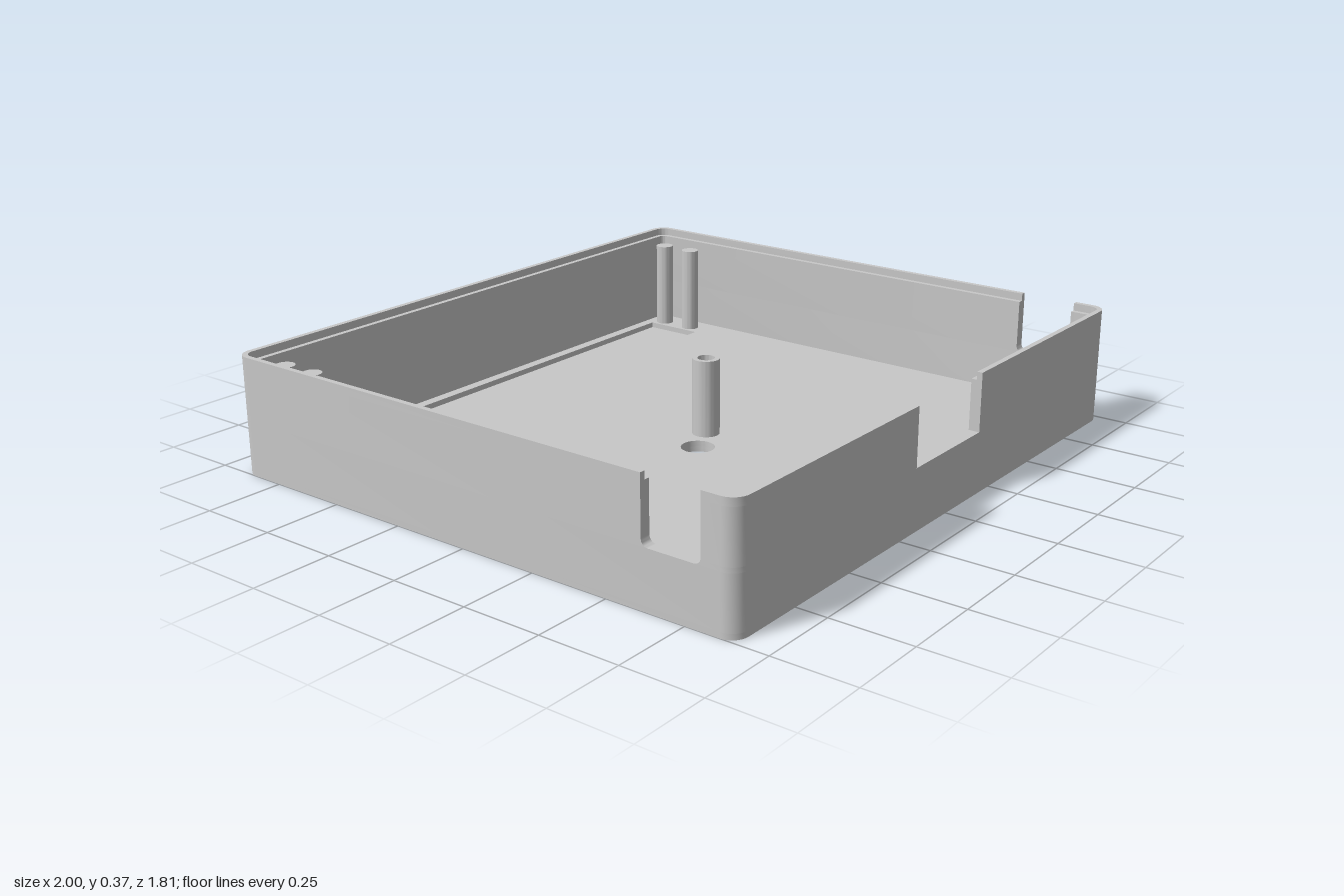
import * as THREE from 'three';
import { toCreasedNormals } from 'three/addons/utils/BufferGeometryUtils.js';

const W = 1, D = 0.905, H = 0.369;     // half width, half depth, height
const WALL = 0.034, LIP = 0.017, R = 0.05;
const FLOOR = 0.035, RECESS = 0.017, LEDGE = 0.345, PEG = 0.33;
const SIDE = { z0: 0.615, z1: 0.798, y: 0.175, r: 0.02 }; // side notch
const FRONT = { x: 0.175, y: 0.19 };                      // front notch
const POST = { x: 0.032, z: 0.037, r: 0.043, bore: 0.027, top: 0.28 };

export function createModel() {
  const group = new THREE.Group();
  const grey = new THREE.MeshStandardMaterial({ color: 0xc8c8c8 });
  grey.name = 'grey plastic';

  function add(name, geometry) {
    const mesh = new THREE.Mesh(toCreasedNormals(geometry, 0.6), grey);
    mesh.name = name;
    group.add(mesh);
  }

  // Extrude a plan shape (x, -z) upward from y0 to y1
  function slab(name, shape, y0, y1) {
    const g = new THREE.ExtrudeGeometry(shape, { depth: y1 - y0, bevelEnabled: false, curveSegments: 24 });
    g.rotateX(-Math.PI / 2);
    g.translate(0, y0, 0);
    add(name, g);
  }

  const v = (x, z) => new THREE.Vector2(x, -z);

  // Rounded corner running from the side wall to the front or back wall
  function corner(sx, sz, inset) {
    const r = Math.max(R - inset, 0.012);
    const pts = [];
    for (let i = 0; i <= 8; i++) {
      const a = (i / 8) * Math.PI / 2;
      pts.push(v(sx * (W - inset - r + r * Math.cos(a)), sz * (D - inset - r + r * Math.sin(a))));
    }
    return pts;
  }

  // Counter-clockwise rounded rectangle, so that holes face the right way
  const outline = (inset) => [
    ...corner(1, -1, inset), ...corner(-1, -1, inset).reverse(),
    ...corner(-1, 1, inset), ...corner(1, 1, inset).reverse(),
  ];

  const circle = (x, z, r) => new THREE.Path().absarc(x, -z, r, 0, Math.PI * 2, true);

  // Floor: lower plate with a counterbore, then upper plate with the shallow recess
  const vents = () => [circle(-0.395, -0.322, 0.052), circle(-0.082, 0.092, 0.052)];
  const lower = new THREE.Shape(outline(0));
  lower.holes.push(...vents(), circle(POST.x, POST.z, POST.r));
  slab('floorLower', lower, 0, RECESS);

  const upper = new THREE.Shape(outline(WALL - 0.002));
  upper.holes.push(...vents(), circle(POST.x, POST.z, POST.bore));
  upper.holes.push(new THREE.Path([v(-0.858, -0.837), v(0.858, -0.837), v(0.858, -0.635), v(-0.858, -0.635)]));
  slab('floorUpper', upper, RECESS, FLOOR);

  // Unbroken lower wall
  const ring = new THREE.Shape(outline(0));
  ring.holes.push(new THREE.Path(outline(WALL)));
  slab('lowerWall', ring, RECESS, SIDE.y);

  // U-shaped wall round the back, ending at the side notches
  function backWall(name, t, y0, y1) {
    const pts = (i) => [v(W - i, SIDE.z0), ...corner(1, -1, i), ...corner(-1, -1, i).reverse(), v(-W + i, SIDE.z0)];
    slab(name, new THREE.Shape([...pts(0), ...pts(t).reverse()]), y0, y1);
  }
  backWall('backWall', WALL, SIDE.y, LEDGE);
  backWall('backLip', LIP, LEDGE, H);

  // L-shaped front corner walls between the side and front notches
  function frontWall(name, sx, t, xEnd, y0, y1) {
    const pts = (i) => [v(sx * (W - i), SIDE.z1), ...corner(sx, 1, i), v(sx * xEnd, D - i)];
    slab(name, new THREE.Shape([...pts(0), ...pts(t).reverse()]), y0, y1);
  }

  for (const [side, sx] of [['left', 1], ['right', -1]]) {
    frontWall(side + 'FrontSill', sx, WALL, 0, SIDE.y, FRONT.y);
    frontWall(side + 'FrontWall', sx, WALL, FRONT.x, FRONT.y, LEDGE);
    frontWall(side + 'FrontLip', sx, LIP, FRONT.x, LEDGE, H);

    // Fillets in the bottom corners of the side notch
    for (const [z, dir] of [[SIDE.z0, 1], [SIDE.z1, -1]]) {
      const r = SIDE.r, pts = [new THREE.Vector2(-z, SIDE.y)];
      for (let i = 0; i <= 6; i++) {
        const a = (i / 6) * Math.PI / 2;
        pts.push(new THREE.Vector2(-(z + dir * r * (1 - Math.sin(a))), SIDE.y + r * (1 - Math.cos(a))));
      }
      const g = new THREE.ExtrudeGeometry(new THREE.Shape(pts), { depth: WALL, bevelEnabled: false });
      g.rotateY(Math.PI / 2);
      g.translate(sx > 0 ? W - WALL : -W, 0, 0);
      add(side + 'NotchFillet', g);
    }

    // Pairs of pegs beside the recess
    for (const z of [-0.808, -0.69]) {
      const g = new THREE.CylinderGeometry(0.03, 0.03, PEG - RECESS, 32);
      g.translate(sx * 0.898, (PEG + RECESS) / 2, z);
      add(side + 'Peg', g);
    }
  }

  // Hollow screw post
  const post = new THREE.Shape().absarc(POST.x, -POST.z, POST.r, 0, Math.PI * 2, false);
  post.holes.push(circle(POST.x, POST.z, POST.bore));
  slab('screwPost', post, FLOOR, POST.top);

  return group;
}
